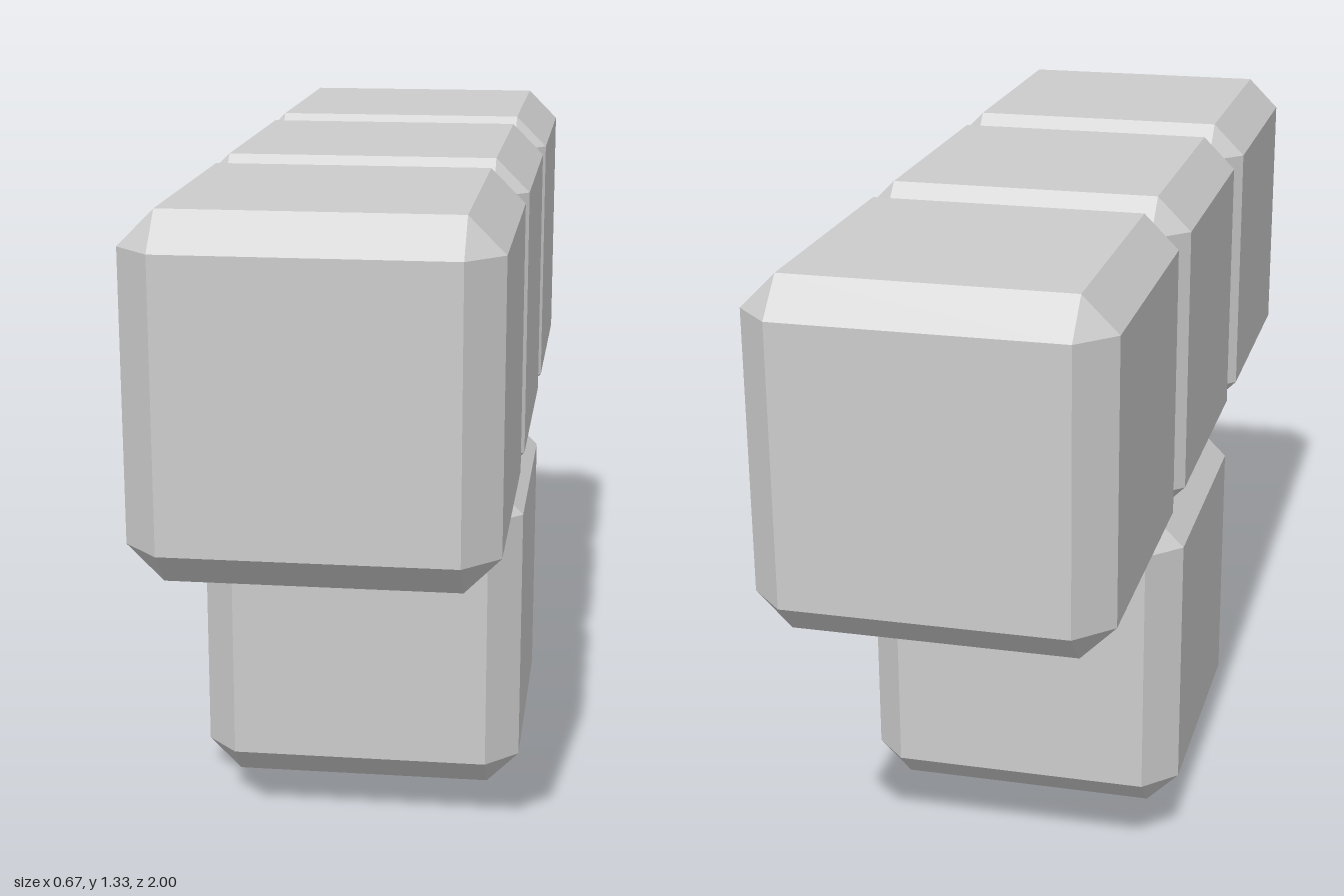
import * as THREE from 'three';
import { ConvexGeometry } from 'three/addons/geometries/ConvexGeometry.js';

const SIZE = 2 / 3;
const CHAMFER = SIZE / 10;

// Cube with flat bevels on its edges and a triangle at each corner
function chamferedCube(size, chamfer) {
  const outer = size / 2;
  const inner = outer - chamfer;
  const points = [];
  for (const x of [-1, 1]) for (const y of [-1, 1]) for (const z of [-1, 1]) {
    points.push(
      new THREE.Vector3(x * outer, y * inner, z * inner),
      new THREE.Vector3(x * inner, y * outer, z * inner),
      new THREE.Vector3(x * inner, y * inner, z * outer)
    );
  }
  return new ConvexGeometry(points);
}

export function createModel() {
  const group = new THREE.Group();
  group.name = 'tBlock';
  const material = new THREE.MeshStandardMaterial({ color: 0xcccccc, flatShading: true });
  const geometry = chamferedCube(SIZE, CHAMFER);

  // Row of three cubes on top, one below the middle (row, column along z)
  const cubes = [
    ['backCube', 1, -1],
    ['middleCube', 1, 0],
    ['frontCube', 1, 1],
    ['bottomCube', 0, 0],
  ];
  for (const [name, row, column] of cubes) {
    const cube = new THREE.Mesh(geometry, material);
    cube.name = name;
    cube.position.set(0, (row + 0.5) * SIZE, column * SIZE);
    group.add(cube);
  }
  return group;
}
